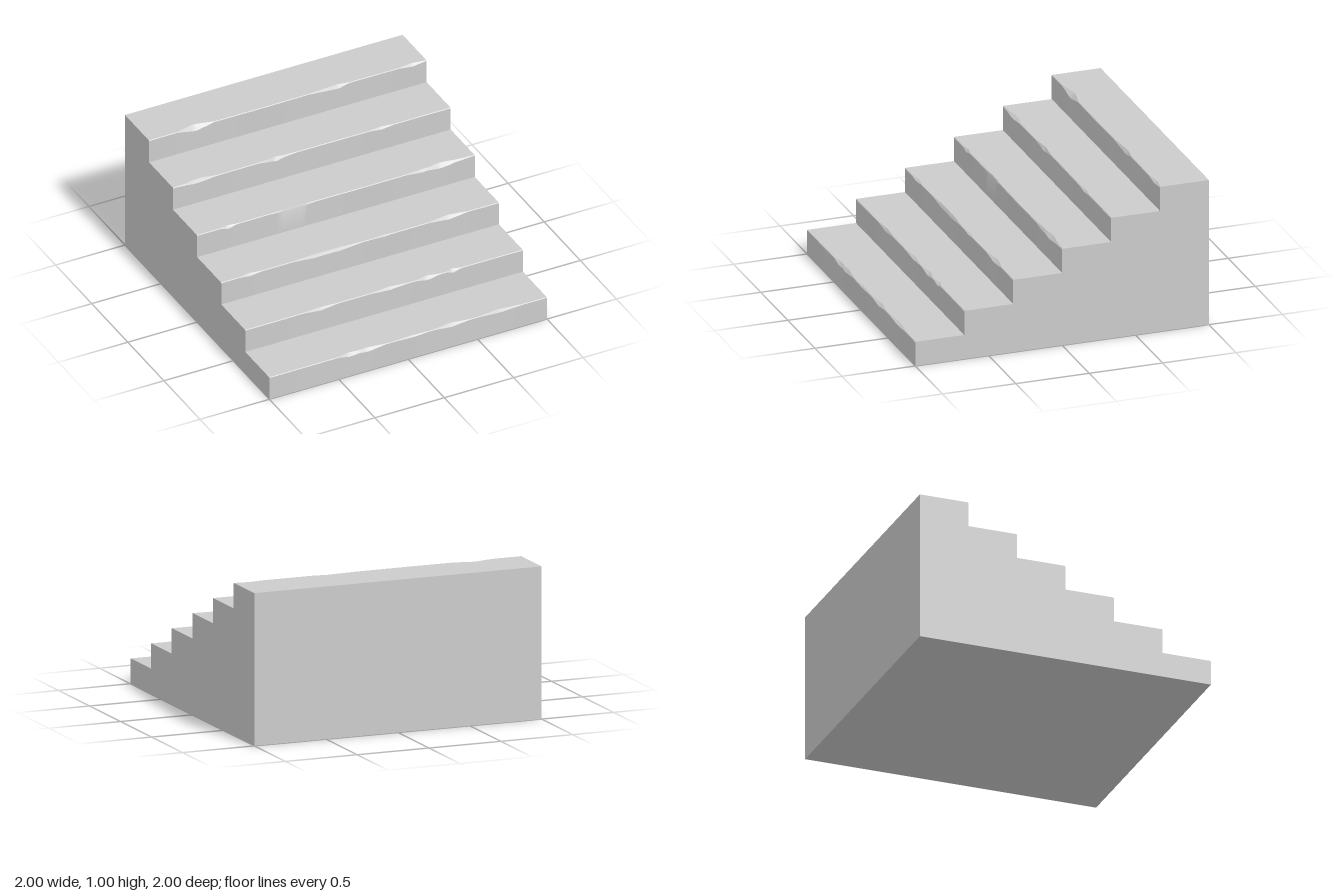
import * as THREE from 'three';
import { toCreasedNormals } from 'three/addons/utils/BufferGeometryUtils.js';

const STEPS = 6, SECTIONS = 80;

function seeded(seed) {
  return () => (seed = (seed * 16807) % 2147483647) / 2147483647;
}

// Worn nosing of one step: a gentle wander plus a few chips along x
function makeWear(random) {
  const phase = random() * 6;
  const chips = Array.from({ length: 5 }, () => ({
    x: random() * 1.8 - 0.9,
    width: 0.04 + random() * 0.13,
    drop: 0.004 + random() * 0.014,
    inset: 0.004 + random() * 0.018,
  }));
  return (x) => {
    const fade = 1 - x * x;
    const wear = {
      drop: 0.004, inset: 0.004,
      lean: 0.004 * fade * Math.sin(2.3 * x + phase),
    };
    for (const c of chips) {
      const k = Math.max(0, 1 - Math.abs(x - c.x) / c.width);
      wear.drop += c.drop * k;
      wear.inset += c.inset * k;
    }
    return wear;
  };
}

// Stepped outline at position x, as [z, y] from the front foot to the back foot
function outline(x, wears) {
  const points = [];
  wears.forEach((wearAt, i) => {
    const w = wearAt(x);
    const z = 1 - (i * 2) / STEPS, y0 = i / STEPS, y1 = (i + 1) / STEPS;
    points.push([z, y0], [z - Math.abs(w.lean), y1 - w.drop], [z - w.inset - Math.abs(w.lean), y1]);
  });
  points.push([-1, 1], [-1, 0]);
  return points;
}

function stairGeometry() {
  const random = seeded(4711);
  const wears = Array.from({ length: STEPS }, () => makeWear(random));
  const sections = Array.from({ length: SECTIONS + 1 }, (_, s) => {
    const x = -1 + (2 * s) / SECTIONS;
    return outline(x, wears).map(([z, y]) => [x, y, z]);
  });
  const positions = [];
  const tri = (a, b, c) => positions.push(...a, ...b, ...c);

  // Skin between neighbouring outlines
  for (let s = 0; s < SECTIONS; s++) {
    const p = sections[s], q = sections[s + 1];
    p.forEach((a, i) => {
      const j = (i + 1) % p.length;
      tri(a, q[i], q[j]);
      tri(a, q[j], p[j]);
    });
  }

  // Flat side walls
  for (const [ring, side] of [[sections[0], -1], [sections[SECTIONS], 1]]) {
    const flat = ring.map(([, y, z]) => new THREE.Vector2(z, y));
    for (const [a, b, c] of THREE.ShapeUtils.triangulateShape(flat, [])) {
      const facesRight = THREE.ShapeUtils.area([flat[a], flat[b], flat[c]]) > 0;
      if (facesRight === (side < 0)) tri(ring[a], ring[b], ring[c]);
      else tri(ring[a], ring[c], ring[b]);
    }
  }

  const geometry = new THREE.BufferGeometry();
  geometry.setAttribute('position', new THREE.Float32BufferAttribute(positions, 3));
  return toCreasedNormals(geometry, 0.5);
}

export function createModel() {
  const group = new THREE.Group();
  group.name = 'staircase';
  const stairs = new THREE.Mesh(stairGeometry(), new THREE.MeshStandardMaterial({ color: 0xcccccc }));
  stairs.name = 'wornSteps';
  group.add(stairs);
  return group;
}
